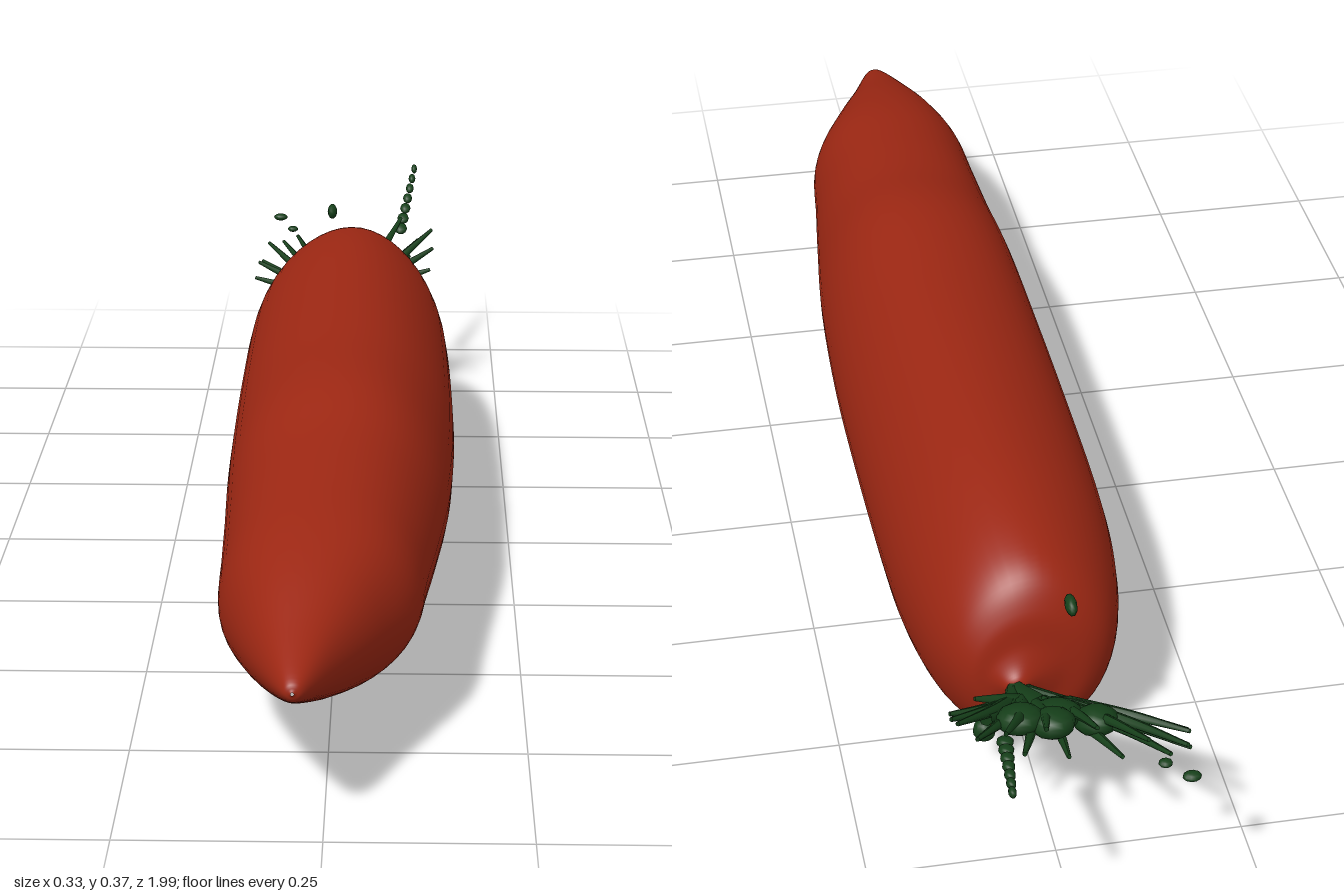
import * as THREE from 'three';

const orange = new THREE.MeshStandardMaterial({ color: 0x9c2713 });
const green = new THREE.MeshStandardMaterial({ color: 0x16401a, side: THREE.DoubleSide });

// Root cross-sections, tip to crown: z, xMin, xMax, yMin, yMax
const SECTIONS = [
  [1.0, -0.037, -0.033, 0.193, 0.197],
  [0.985, -0.052, -0.016, 0.178, 0.212],
  [0.9, -0.085, 0.022, 0.14, 0.243],
  [0.8, -0.117, 0.07, 0.1, 0.278],
  [0.7, -0.14, 0.112, 0.068, 0.303],
  [0.58, -0.145, 0.127, 0.048, 0.32],
  [0.45, -0.149, 0.142, 0.032, 0.338],
  [0.3, -0.154, 0.157, 0.013, 0.366],
  [0.1, -0.157, 0.165, 0.009, 0.368],
  [-0.1, -0.157, 0.165, 0.007, 0.372],
  [-0.3, -0.155, 0.161, 0.005, 0.375],
  [-0.42, -0.148, 0.154, 0.009, 0.372],
  [-0.52, -0.131, 0.138, 0.033, 0.36],
  [-0.58, -0.108, 0.115, 0.066, 0.338],
  [-0.61, -0.075, 0.09, 0.105, 0.295],
  [-0.62, -0.03, 0.065, 0.15, 0.245],
  [-0.635, 0.01, 0.048, 0.178, 0.215],
  [-0.655, 0.026, 0.043, 0.19, 0.208],
];

// Smooth skin through the cross-sections
function rootGeometry(rings = 110, sides = 48) {
  const spline = (f) => new THREE.CatmullRomCurve3(SECTIONS.map(f), false, 'catmullrom', 0.5);
  const centre = spline(([z, a, b, c, d]) => new THREE.Vector3((a + b) / 2, (c + d) / 2, z));
  const radius = spline(([, a, b, c, d]) => new THREE.Vector3((b - a) / 2, (d - c) / 2, 0));
  const pos = [], index = [];
  for (let i = 0; i <= rings; i++) {
    const c = centre.getPoint(i / rings), r = radius.getPoint(i / rings);
    for (let j = 0; j < sides; j++) {
      const a = (j / sides) * Math.PI * 2;
      const k = 1 + 0.008 * Math.cos(5 * a + 2 * c.z) - 0.008; // faint lengthwise ridges
      pos.push(c.x + r.x * k * Math.cos(a), c.y + r.y * k * Math.sin(a), c.z);
      if (i < rings) {
        const p = i * sides + j, q = i * sides + (j + 1) % sides;
        index.push(p, p + sides, q, q, p + sides, q + sides);
      }
    }
  }
  const g = new THREE.BufferGeometry();
  g.setAttribute('position', new THREE.Float32BufferAttribute(pos, 3));
  g.setIndex(index);
  g.computeVertexNormals();
  return g;
}

// The greens fan out on one tilted sheet
const onFan = (x, z, lift = 0) =>
  new THREE.Vector3(x, 0.195 + 0.4 * (-0.64 - z) + 0.2 * (x - 0.03) + lift, z);

// Tapered tube along a curve
function frond(points, r0, r1) {
  const curve = new THREE.CatmullRomCurve3(points);
  const n = 14, sides = 7;
  const g = new THREE.TubeGeometry(curve, n, 1, sides);
  const p = g.attributes.position, v = new THREE.Vector3();
  for (let i = 0; i <= n; i++) {
    const c = curve.getPointAt(i / n), r = THREE.MathUtils.lerp(r0, r1, i / n);
    for (let j = 0; j <= sides; j++) {
      const k = i * (sides + 1) + j;
      v.fromBufferAttribute(p, k).sub(c).multiplyScalar(r).add(c);
      p.setXYZ(k, v.x, v.y, v.z);
    }
  }
  g.computeVertexNormals();
  return g;
}

export function createModel() {
  const model = new THREE.Group();
  const add = (name, geometry, material, parent = model) => {
    const m = new THREE.Mesh(geometry, material);
    m.name = name;
    parent.add(m);
    return m;
  };
  add('root', rootGeometry(), orange);

  const greens = new THREE.Group();
  greens.name = 'greens';
  model.add(greens);
  const bit = (name, p, sx, sy, sz) => {
    const m = add(name, new THREE.SphereGeometry(1, 10, 8), green, greens);
    m.position.copy(p);
    m.scale.set(sx, sy, sz);
    return m;
  };

  // Stem and the two main stalks
  const base = onFan(0.035, -0.635);
  add('stem', frond([base, onFan(0.03, -0.66), onFan(0.015, -0.71)], 0.013, 0.02), green, greens);
  const stalks = [[-0.09, -0.72], [0.095, -0.75]];
  for (const [x, z] of stalks)
    add('stalk', frond([base, onFan(x * 0.45 + 0.01, -0.69), onFan(x, z)], 0.011, 0.009), green, greens);

  // Feathery fronds: tip x, tip z, lift off the sheet
  const tips = [
    [-0.165, -0.765, 0], [-0.16, -0.79, 0.01], [-0.155, -0.815, -0.005], [-0.145, -0.838, 0.01],
    [-0.12, -0.85, 0], [-0.095, -0.835, 0.015], [-0.065, -0.825, -0.02], [-0.035, -0.81, 0.02],
    [0.0, -0.81, -0.03], [0.03, -0.81, 0.015], [0.06, -0.825, -0.02], [0.085, -0.83, 0.015],
    [0.115, -0.8, -0.01], [0.138, -0.79, 0.01], [0.14, -0.755, 0], [0.135, -0.715, -0.01],
    [0.1, -0.7, 0.01], [-0.1, -0.7, -0.02],
  ];
  for (const [x, z, lift] of tips) {
    const start = onFan(0.015 + x * 0.25, -0.685);
    const mid = onFan(x * 0.6, z * 0.45 - 0.685 * 0.55, lift * 0.6);
    add('frond', frond([start, mid, onFan(x, z, lift)], 0.011, 0.003), green, greens);
  }

  // Dense leafy heart of the fan
  for (const [x, z, r] of [[0, -0.725, 0.035], [-0.05, -0.74, 0.03], [0.05, -0.745, 0.032], [0.01, -0.755, 0.03]])
    bit('leafClump', onFan(x, z), r, 0.02, r).rotation.x = 0.38;

  // Broken long sprigs and loose leaf flecks
  for (let i = 0; i < 7; i++) {
    const t = i / 6;
    const m = bit('sprigFleck', onFan(0.085 + 0.023 * t, -0.825 - 0.16 * t), 0.011 - 0.006 * t, 0.007, 0.014 - 0.004 * t);
    m.rotation.x = 0.4;
  }
  bit('sprigFleck', onFan(-0.128, -0.92), 0.012, 0.006, 0.009);
  bit('sprigFleck', onFan(-0.105, -0.88), 0.009, 0.005, 0.008);
  bit('looseFleck', new THREE.Vector3(-0.03, 0.35, -0.665), 0.008, 0.012, 0.018);

  // Dark buds on the crown
  bit('bud', new THREE.Vector3(0.065, 0.085, -0.588), 0.016, 0.018, 0.014);
  bit('bud', new THREE.Vector3(0.025, 0.15, -0.617), 0.014, 0.015, 0.012);
  return model;
}
